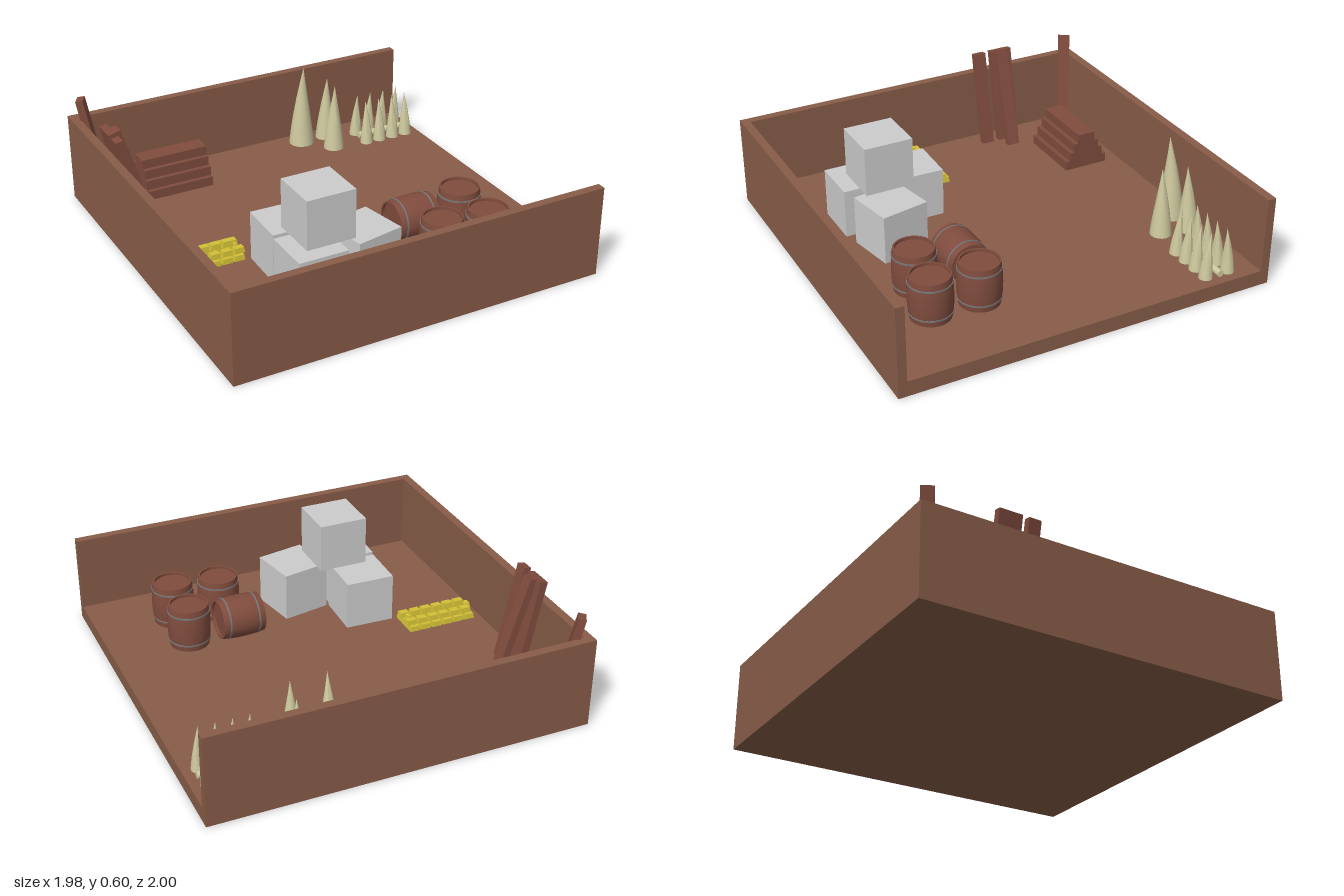
import * as THREE from 'three';
import { toCreasedNormals } from 'three/addons/utils/BufferGeometryUtils.js';

const mat = (color) => new THREE.MeshStandardMaterial({ color });
const wallWood = mat(0x875c48);
const wood = mat(0x804c3e);
const stone = mat(0xcccccc);
const iron = mat(0x777777);
const bone = mat(0xcfca9f);
const gold = mat(0xd2c036);
const FLOOR = 0.08;

function add(parent, name, geometry, material, x = 0, y = 0, z = 0) {
  const mesh = new THREE.Mesh(geometry, material);
  mesh.name = name;
  mesh.position.set(x, y, z);
  parent.add(mesh);
  return mesh;
}

function group(parent, name) {
  const g = new THREE.Group();
  g.name = name;
  parent.add(g);
  return g;
}

const box = (w, h, d) => new THREE.BoxGeometry(w, h, d);

// Floor with walls on three sides, open toward +x
function buildRoom(root) {
  const room = group(root, 'room');
  add(room, 'floor', box(1.98, FLOOR, 2), wallWood, 0, FLOOR / 2, 0);
  const h = 0.4, y = FLOOR + h / 2;
  add(room, 'frontWall', box(1.98, h, 0.045), wallWood, 0, y, 0.9775);
  add(room, 'backWall', box(1.98, h, 0.045), wallWood, 0, y, -0.9775);
  add(room, 'sideWall', box(0.045, h, 1.91), wallWood, -0.9675, y, 0);
}

// Three crates on the floor and one on top
function buildCrates(root) {
  const crates = group(root, 'crates');
  const s = 0.26;
  for (const [x, layer, z, turn] of [
    [-0.37, 0, 0.305, -0.03], [-0.385, 0, 0.59, 0], [-0.08, 0, 0.545, 0.19], [-0.3, 1, 0.505, 0],
  ]) add(crates, 'crate', box(s, s, s), stone, x, FLOOR + s * (layer + 0.5), z).rotation.y = turn;
}

// Bulging barrel with inset lids and two iron hoops, centred on its own middle
function makeBarrel() {
  const barrel = new THREE.Group();
  barrel.name = 'barrel';
  const half = [[0.112, 0], [0.1115, 0.035], [0.109, 0.075], [0.103, 0.115], [0.094, 0.115], [0.094, 0.1], [0, 0.1]];
  const lower = half.slice(1).reverse().map(([r, y]) => new THREE.Vector2(r, -y));
  const upper = half.map(([r, y]) => new THREE.Vector2(r, y));
  const body = new THREE.LatheGeometry([...lower, ...upper], 24);
  add(barrel, 'barrelBody', toCreasedNormals(body, 0.6), wood);
  for (const y of [-0.08, 0.08]) {
    add(barrel, 'hoop', new THREE.CylinderGeometry(0.111, 0.111, 0.008, 24), iron, 0, y, 0);
  }
  return barrel;
}

function buildBarrels(root) {
  const barrels = group(root, 'barrels');
  for (const [x, z] of [[0.575, 0.385], [0.575, 0.642], [0.33, 0.61]]) {
    const b = makeBarrel();
    b.position.set(x, FLOOR + 0.115, z);
    barrels.add(b);
  }
  const lying = makeBarrel();
  lying.position.set(0.31, FLOOR + 0.112, 0.355);
  lying.rotation.z = Math.PI / 2;
  barrels.add(lying);
}

// Stepped pile of planks
function buildPlankPile(root) {
  const pile = group(root, 'plankPile');
  const s = 0.05;
  for (let layer = 0; layer < 4; layer++) {
    const n = 5 - layer;
    for (let i = 0; i < n; i++) {
      add(pile, 'plank', box(0.37, s, s), wood,
        -0.52, FLOOR + s * (layer + 0.5), -0.745 + (i - (n - 1) / 2) * s);
    }
  }
}

// Planks leaning on the walls: foot position, turn about y, tilt from upright
function buildLeaningPlanks(root) {
  const planks = group(root, 'leaningPlanks');
  for (const [x, z, turn, tilt] of [
    [-0.84, -0.393, 0, 0.2], [-0.84, -0.493, 0, 0.2], [-0.84, -0.552, 0, 0.2],
    [-0.753, -0.51, 0, 0.3], [-0.85, -0.89, -0.53, 0.19],
  ]) {
    const foot = group(planks, 'leaningPlank');
    foot.position.set(x, FLOOR, z);
    foot.rotation.y = turn;
    const length = 0.51 / Math.cos(tilt);
    const geo = box(0.04, length, 0.065).translate(0, length / 2, 0);
    add(foot, 'plank', geo, wood).rotation.z = tilt;
  }
}

// Tapered bars of gold in three layers
function buildGold(root) {
  const bars = group(root, 'goldBars');
  const geo = new THREE.CylinderGeometry(0.83 * Math.SQRT1_2, Math.SQRT1_2, 1, 4, 1);
  geo.rotateY(Math.PI / 4);
  const bar = toCreasedNormals(geo, 0.3).scale(0.058, 0.028, 0.04);
  [[4, 6, 0], [3, 6, 0.01], [1, 5, 0]].forEach(([rows, cols, shift], layer) => {
    for (let r = 0; r < rows; r++) {
      for (let c = 0; c < cols; c++) {
        add(bars, 'goldBar', bar, gold,
          -0.715 + shift * (r % 2 ? -1 : 1) + (c - (cols - 1) / 2) * 0.0645,
          FLOOR + 0.028 * (layer + 0.5),
          0.085 + (r - (rows - 1) / 2) * 0.0425);
      }
    }
  });
}

// Pointed spike whose tip is shifted by (dx, dz)
function addSpike(parent, x, z, r, h, dx, dz) {
  const profile = [[0, 0], [1, 0], [0.9, 0.15], [0.72, 0.35], [0.46, 0.6], [0.2, 0.82], [0, 1]];
  const geo = new THREE.LatheGeometry(profile.map(([a, b]) => new THREE.Vector2(a * r, b * h)), 16);
  const p = geo.attributes.position;
  for (let i = 0; i < p.count; i++) {
    const t = (p.getY(i) / h) ** 2;
    p.setX(i, p.getX(i) + dx * t);
    p.setZ(i, p.getZ(i) + dz * t);
  }
  add(parent, 'spike', toCreasedNormals(geo, 0.8), bone, x, FLOOR, z);
}

function buildSpikes(root) {
  const spikes = group(root, 'spikes');
  addSpike(spikes, 0.33, -0.86, 0.07, 0.47, 0, 0.03);
  addSpike(spikes, 0.485, -0.86, 0.057, 0.37, 0, 0.02);
  addSpike(spikes, 0.46, -0.715, 0.057, 0.38, 0, 0.01);
  // Double row of small spikes either side of a rod
  for (let i = 0; i < 4; i++) {
    for (const side of [-1, 1]) {
      addSpike(spikes, 0.655 + i * 0.0845, -0.744 + side * 0.063, 0.036, 0.25, 0, -side * 0.018);
    }
  }
  const rod = new THREE.CylinderGeometry(0.018, 0.018, 0.3, 12).rotateZ(Math.PI / 2);
  add(spikes, 'rod', rod, bone, 0.79, FLOOR + 0.018, -0.747);
}

export function createModel() {
  const root = new THREE.Group();
  root.name = 'storeroom';
  buildRoom(root);
  buildCrates(root);
  buildBarrels(root);
  buildPlankPile(root);
  buildLeaningPlanks(root);
  buildGold(root);
  buildSpikes(root);
  return root;
}
